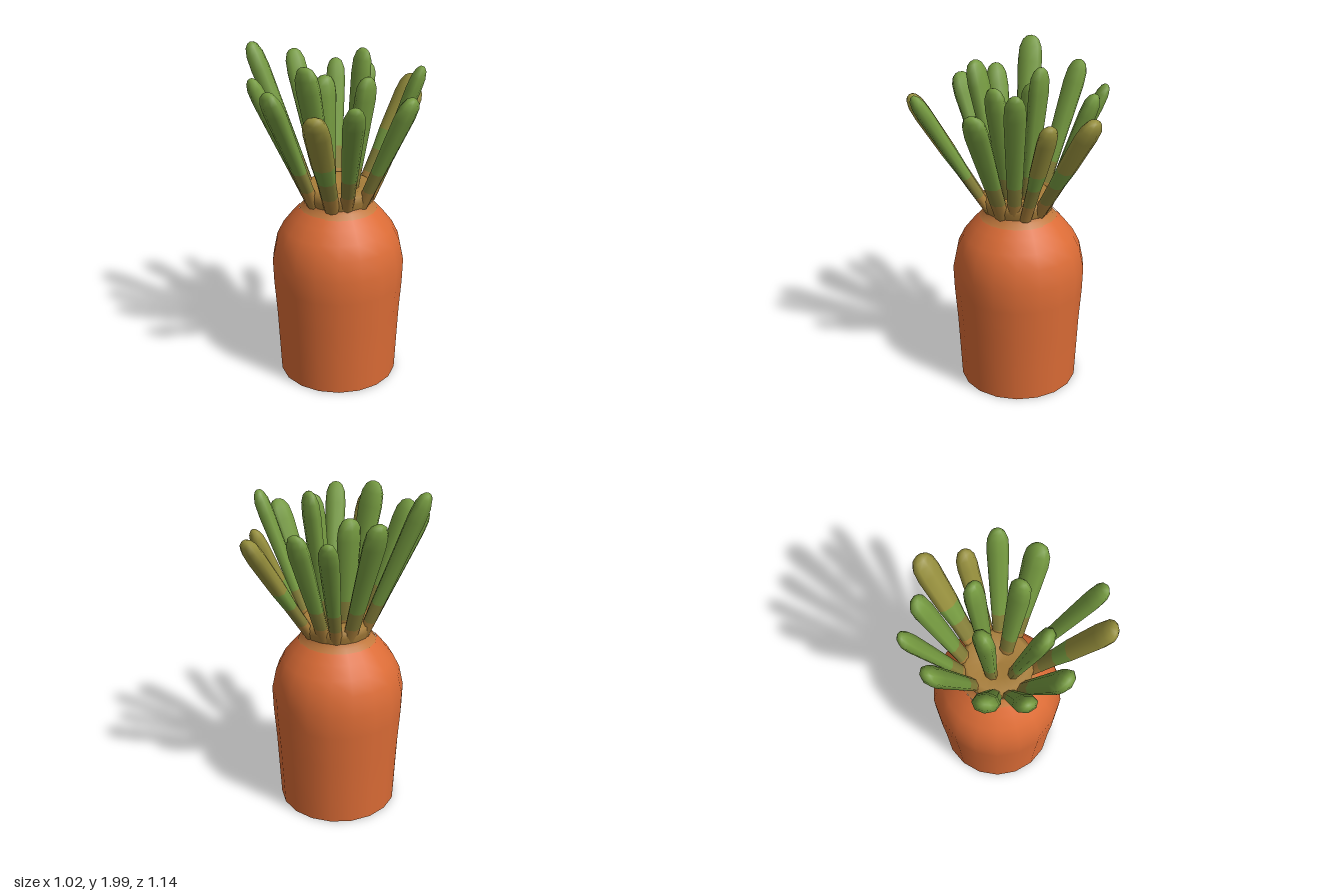
import * as THREE from 'three';

const mat = (name, color) => {
  const m = new THREE.MeshStandardMaterial({ color });
  m.name = name;
  return m;
};

// One stalk: oval rings along a straight line, blunt rounded tip.
// Bands of rings use different materials: 0 base, 1 transition, 2 stem, 3 tip.
function stalkGeometry(base, tip, width, depth, tipStart) {
  const SIDES = 8;
  const dir = tip.clone().sub(base);
  const axis = dir.clone().normalize();
  const side = new THREE.Vector3(0, 1, 0).cross(axis).normalize();
  const thick = axis.clone().cross(side);
  const atHeight = (y) => (y - base.y) / dir.y;
  // [position along the stalk, size]
  const rings = [
    [0, 0.6], [atHeight(1.21), 0.68], [atHeight(1.33), 0.74], [tipStart, 0.9],
    [0.84, 1], [0.93, 0.92], [0.98, 0.66], [1, 0.36],
  ];
  const pos = [], index = [];
  for (const [t, s] of rings) {
    const c = base.clone().addScaledVector(dir, t);
    for (let j = 0; j < SIDES; j++) {
      const a = (j / SIDES) * Math.PI * 2;
      const p = c.clone()
        .addScaledVector(side, Math.cos(a) * width * s)
        .addScaledVector(thick, Math.sin(a) * depth * s);
      pos.push(p.x, p.y, p.z);
    }
  }
  const end = tip.clone().addScaledVector(axis, 0.006);
  pos.push(end.x, end.y, end.z);
  const last = rings.length - 1;
  for (let i = 0; i <= last; i++) {
    for (let j = 0; j < SIDES; j++) {
      const a = i * SIDES + j, b = i * SIDES + ((j + 1) % SIDES);
      if (i === last) index.push(a, b, (last + 1) * SIDES);
      else index.push(a, b, b + SIDES, a, b + SIDES, a + SIDES);
    }
  }
  const g = new THREE.BufferGeometry();
  g.setAttribute('position', new THREE.Float32BufferAttribute(pos, 3));
  g.setIndex(index);
  g.computeVertexNormals();
  const band = SIDES * 6;
  for (let k = 0; k < 3; k++) g.addGroup(k * band, band, k);
  g.addGroup(3 * band, index.length - 3 * band, 3);
  return g;
}

export function createModel() {
  const orange = mat('carrot orange', 0xdc6c36);
  const amber = mat('neck amber', 0xc47a3e);
  const tan = mat('crown tan', 0xa87e3a);
  const moss = mat('stalk moss', 0x86803a);
  const green = mat('stalk green', 0x759a40);
  const olive = mat('wilted olive', 0x958e3c);

  const model = new THREE.Group();
  model.name = 'carrot';
  const add = (name, geometry, material, x = 0) => {
    const mesh = new THREE.Mesh(geometry, material);
    mesh.name = name;
    mesh.position.x = x;
    model.add(mesh);
    return mesh;
  };
  const lathe = (points) =>
    new THREE.LatheGeometry(points.map(([r, y]) => new THREE.Vector2(r, y)), 18);

  // Root: cut flat underneath, rounded shoulders
  add('root', lathe([
    [0.35, 0], [0.36, 0.2], [0.37, 0.4], [0.385, 0.6], [0.39, 0.74],
    [0.365, 0.86], [0.325, 0.94], [0.27, 1.01], [0.225, 1.06],
  ]), orange, -0.017);
  const cut = add('rootCut', new THREE.CircleGeometry(0.35, 18), orange, -0.017);
  cut.rotation.set(Math.PI / 2, 0, Math.PI / 2);

  // Neck and crown joining the stalks
  add('neck', lathe([[0.228, 1.055], [0.205, 1.08], [0.195, 1.105]]), amber, -0.012);
  add('crown', lathe([
    [0.195, 1.1], [0.208, 1.14], [0.212, 1.18], [0.18, 1.205], [0.1, 1.19], [0, 1.17],
  ]), tan, -0.008);

  // Stalks: base x, z, tip x, y, z, half width, wilted tip
  const stalks = [
    [0.03, -0.16, 0.115, 1.75, -0.55, 0.078, true],
    [0.12, -0.13, 0.27, 1.73, -0.37, 0.06, true],
    [0.14, -0.07, 0.39, 1.9, -0.23, 0.06],
    [0.16, 0.0, 0.48, 1.78, -0.02, 0.075],
    [0.07, 0.0, 0.21, 1.86, 0.02, 0.068],
    [0.13, 0.1, 0.42, 1.81, 0.4, 0.06],
    [0.07, 0.16, 0.265, 1.76, 0.54, 0.075, true],
    [-0.01, 0.09, -0.01, 1.93, 0.29, 0.08],
    [-0.06, 0.17, -0.12, 1.81, 0.47, 0.078],
    [-0.12, 0.13, -0.34, 1.83, 0.36, 0.065],
    [-0.16, 0.06, -0.485, 1.985, 0.2, 0.072],
    [-0.16, -0.05, -0.47, 1.89, -0.14, 0.07],
    [-0.13, -0.12, -0.34, 1.81, -0.38, 0.056],
    [-0.07, -0.15, -0.13, 1.81, -0.42, 0.068],
    [-0.08, 0.0, -0.13, 1.81, -0.02, 0.072],
    [0.01, -0.07, 0.03, 1.96, -0.17, 0.065],
  ];
  stalks.forEach(([bx, bz, tx, ty, tz, w, wilted], i) => {
    const g = stalkGeometry(
      new THREE.Vector3(bx, 1.1, bz), new THREE.Vector3(tx, ty, tz),
      w, Math.min(w * 0.72, 0.052), wilted ? 0.52 : 0.62);
    add(`stalk${i + 1}`, g, [tan, moss, green, wilted ? olive : green]);
  });

  return model;
}
